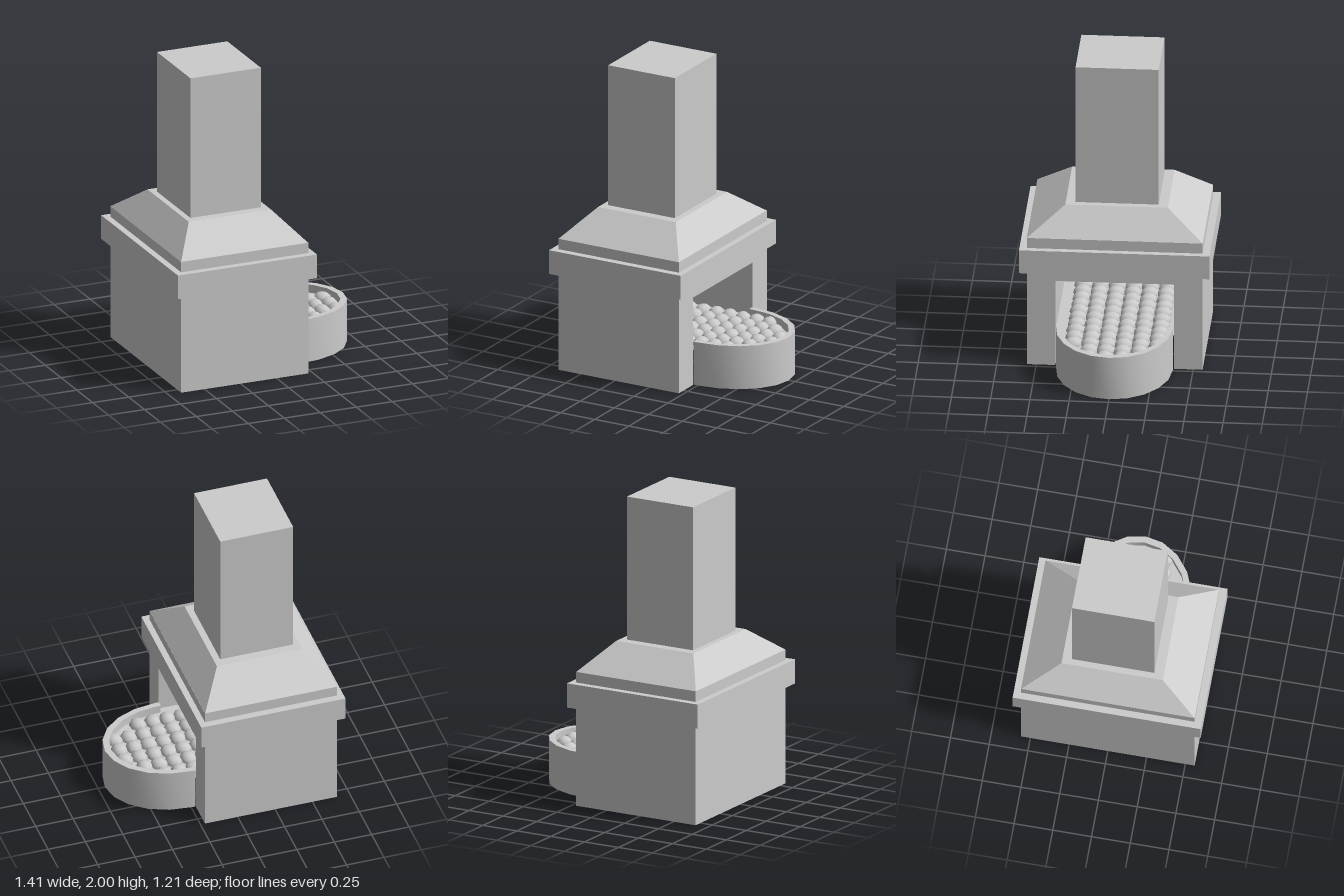
import * as THREE from 'three';
import { toCreasedNormals } from 'three/addons/utils/BufferGeometryUtils.js';

const material = new THREE.MeshStandardMaterial({ color: 0xcccccc });
const thinMaterial = new THREE.MeshStandardMaterial({ color: 0xcccccc, side: THREE.DoubleSide });

const FRONT = 0.22;    // x of the face with the opening
const BACK = -0.63;    // x of the firebox back wall
const HALF = 0.378;    // half width of the firebox opening
const ARC_X = 0.247;   // where the curved end of the hearth begins

export function createModel() {
  const group = new THREE.Group();

  function add(name, geometry, mat = material) {
    const mesh = new THREE.Mesh(geometry, mat);
    mesh.name = name;
    group.add(mesh);
    return mesh;
  }

  function box(name, x0, x1, y0, y1, halfZ) {
    const mesh = add(name, new THREE.BoxGeometry(x1 - x0, y1 - y0, halfZ * 2));
    mesh.position.set((x0 + x1) / 2, (y0 + y1) / 2, 0);
  }

  // Half-ellipse of the hearth's outer end, from z = -b to z = +b
  function arc(a, b) {
    return Array.from({ length: 11 }, (_, i) => {
      const t = -Math.PI / 2 + (i * Math.PI) / 10;
      return new THREE.Vector2(ARC_X + a * Math.cos(t), b * Math.sin(t));
    });
  }

  // Body with the firebox cut out of one side
  const wall = new THREE.Shape([
    [-0.56, 0], [-HALF, 0], [-HALF, 0.59], [HALF, 0.59],
    [HALF, 0], [0.56, 0], [0.56, 0.885], [-0.56, 0.885],
  ].map(([z, y]) => new THREE.Vector2(z, y)));
  const body = new THREE.ExtrudeGeometry(wall, { depth: FRONT - BACK, bevelEnabled: false });
  body.rotateY(Math.PI / 2).translate(BACK, 0, 0);
  add('body', body);
  box('backWall', -0.662, BACK, 0, 0.885, 0.56);

  // Mantel band
  box('mantel', -0.705, 0.26, 0.655, 0.815, 0.607);

  // Sloping hood: a box whose upper corners are drawn in
  const hood = new THREE.BoxGeometry(0.882, 0.17, 1.12);
  const p = hood.attributes.position;
  for (let i = 0; i < p.count; i++) {
    if (p.getY(i) > 0) {
      p.setX(i, Math.sign(p.getX(i)) * 0.285);
      p.setZ(i, Math.sign(p.getZ(i)) * 0.327);
    }
  }
  hood.computeVertexNormals();
  add('hood', hood).position.set(-0.222, 0.97, 0);

  // Chimney
  box('chimney', -0.468, 0.02, 1.055, 2, 0.265);

  // Curved hearth rim
  const rimShape = new THREE.Shape([
    new THREE.Vector2(FRONT, -0.372), ...arc(0.458, 0.372), new THREE.Vector2(FRONT, 0.372),
    new THREE.Vector2(FRONT, 0.335), ...arc(0.416, 0.335).reverse(), new THREE.Vector2(FRONT, -0.335),
  ]);
  const rim = new THREE.ExtrudeGeometry(rimShape, { depth: 0.29, bevelEnabled: false });
  rim.rotateX(-Math.PI / 2);
  add('hearthRim', toCreasedNormals(rim, 0.6));

  // Plate carrying the coals, running from the rim into the firebox
  const plateShape = new THREE.Shape([
    new THREE.Vector2(BACK, -HALF), new THREE.Vector2(FRONT, -HALF), new THREE.Vector2(FRONT, -0.335),
    ...arc(0.42, 0.338),
    new THREE.Vector2(FRONT, 0.335), new THREE.Vector2(FRONT, HALF), new THREE.Vector2(BACK, HALF),
  ]);
  const plate = new THREE.ShapeGeometry(plateShape);
  plate.rotateX(-Math.PI / 2);
  add('coalPlate', plate, thinMaterial).position.y = 0.235;

  // Rows of coals, kept inside the curved rim
  const coals = new THREE.Group();
  coals.name = 'coals';
  group.add(coals);
  const coal = new THREE.SphereGeometry(1, 8, 6);
  for (let i = 0; i < 12; i++) {
    for (let j = 0; j < 6; j++) {
      const x = 0.595 - i * 0.0975;
      const z = -0.285 + j * 0.107;
      const reach = Math.max(0, x - ARC_X) / 0.416;
      if (Math.hypot(reach, z / 0.335) > 0.95) continue;
      const mesh = new THREE.Mesh(coal, material);
      mesh.name = 'coal';
      mesh.position.set(x, 0.235, z);
      mesh.scale.set(0.054, 0.05, 0.062);
      mesh.rotation.y = ((i * 5 + j * 3) % 7) * 0.1;
      coals.add(mesh);
    }
  }
  return group;
}
